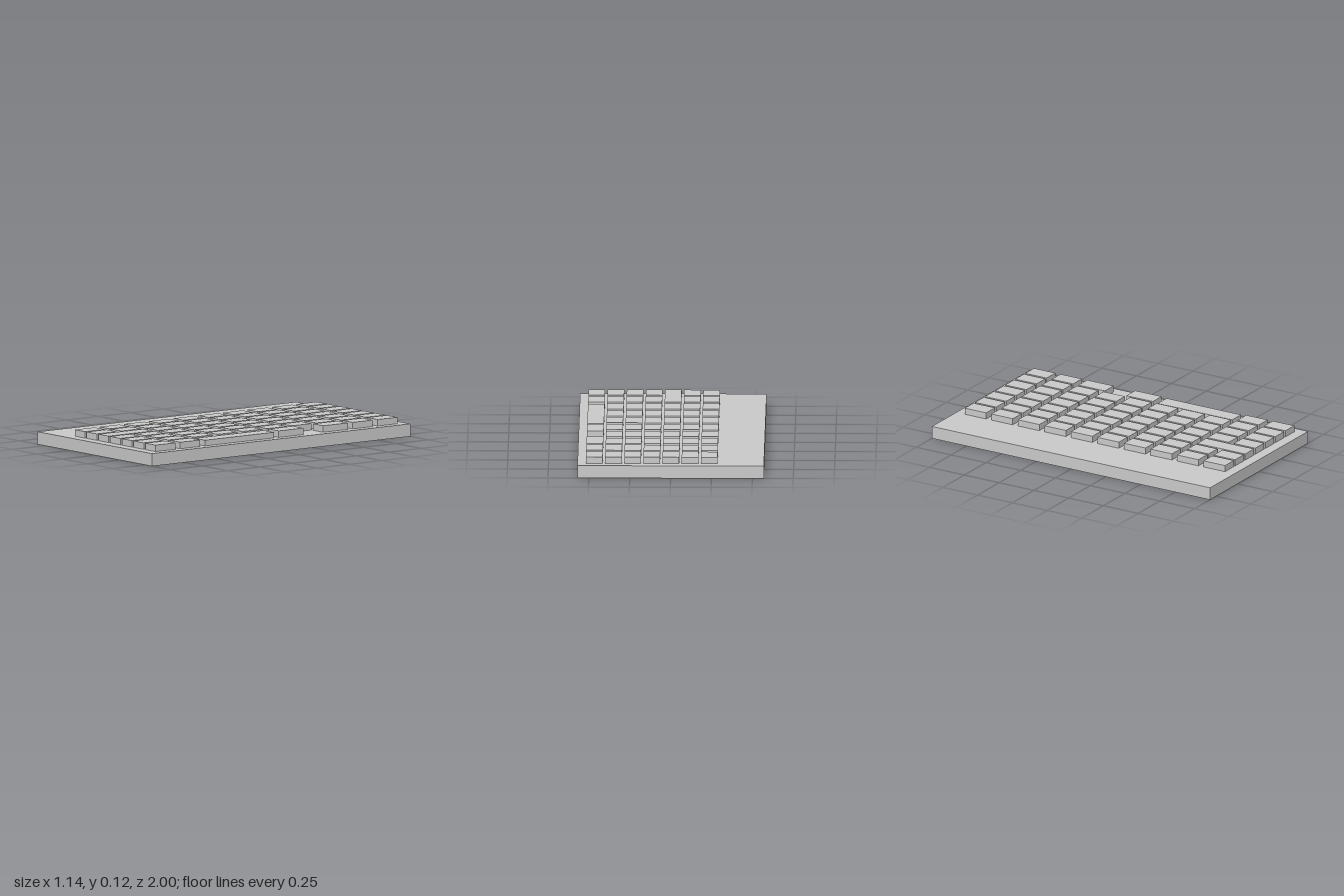
import * as THREE from 'three';

const BASE_TOP = 0.078;
const KEY_TOP = 0.118;
const KEY_W = 0.102;
const KEY_D = 0.154;
const COL_PITCH = 0.117;
const ROW_PITCH = 0.1908;

const colX = (c) => -0.235 + c * COL_PITCH;
const rowZ = (r) => -0.862 + r * ROW_PITCH;

export function createModel() {
  const model = new THREE.Group();
  const material = new THREE.MeshStandardMaterial({ color: 0xcccccc });

  // Box spanning y0..y1 and z0..z1, centred on x
  function addBox(name, x, width, y0, y1, z0, z1) {
    const mesh = new THREE.Mesh(new THREE.BoxGeometry(width, y1 - y0, z1 - z0), material);
    mesh.position.set(x, (y0 + y1) / 2, (z0 + z1) / 2);
    mesh.name = name;
    model.add(mesh);
  }
  const addKey = (name, c, z0, z1, top = KEY_TOP) =>
    addBox(name, colX(c), KEY_W, BASE_TOP, top, z0, z1);

  // Slab body
  addBox('body', 0, 1.14, 0, BASE_TOP, -1, 1);

  // Standard keys, leaving room for the long ones
  for (let c = 0; c < 7; c++) {
    for (let r = 0; r < 10; r++) {
      const longKeyHere = (c === 6 && r >= 2 && r <= 7) || (c === 2 && r >= 8);
      if (longKeyHere) continue;
      addKey('key', c, rowZ(r) - KEY_D / 2, rowZ(r) + KEY_D / 2);
    }
  }

  // Long keys
  addKey('doubleKey', 2, rowZ(8) - KEY_D / 2, rowZ(9) + KEY_D / 2);
  addKey('wideKeyBack', 6, -0.557, -0.366);
  addKey('wideKeyFront', 6, -0.212, -0.021);
  addKey('spaceBar', 6, 0.015, 0.55, 0.113);

  return model;
}
